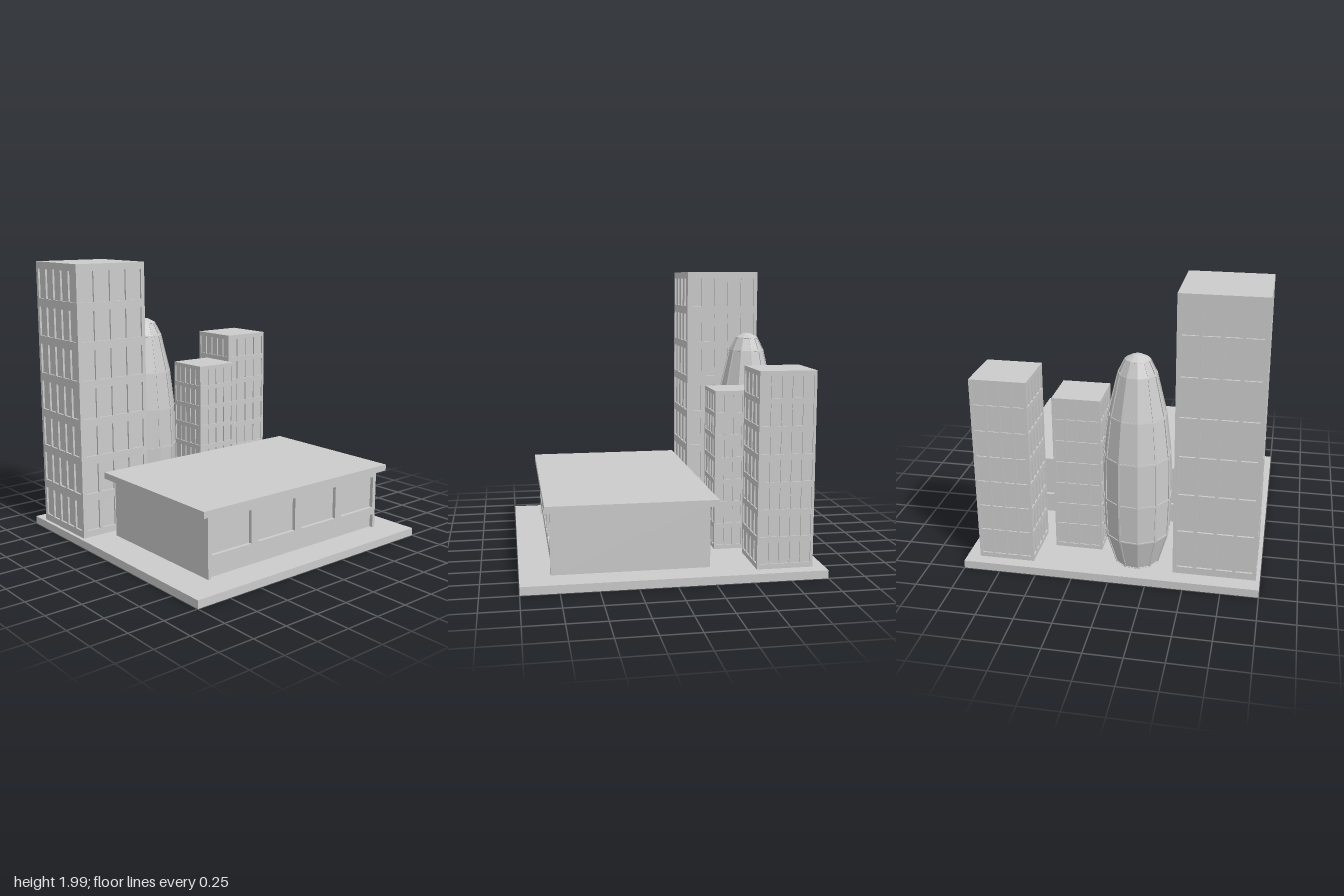
import * as THREE from 'three';

const mat = new THREE.MeshStandardMaterial({ color: 0xcccccc, flatShading: true });

function add(parent, geometry, name) {
  const mesh = new THREE.Mesh(geometry, mat);
  mesh.name = name;
  parent.add(mesh);
  return mesh;
}

// box given by its minimum and maximum corners
function boxBetween(parent, name, x0, x1, y0, y1, z0, z1) {
  const m = add(parent, new THREE.BoxGeometry(x1 - x0, y1 - y0, z1 - z0), name);
  m.position.set((x0 + x1) / 2, (y0 + y1) / 2, (z0 + z1) / 2);
  return m;
}

function rectPoints(x0, x1, y0, y1) {
  return [[x0, y0], [x1, y0], [x1, y1], [x0, y1]].map(([x, y]) => new THREE.Vector2(x, y));
}

// wall sheet with openings, its back on z = 0
function facade(outline, holes, depth) {
  const shape = new THREE.Shape(outline);
  for (const h of holes) shape.holes.push(new THREE.Path(rectPoints(...h).reverse()));
  return new THREE.ExtrudeGeometry(shape, { depth, bevelEnabled: false });
}

// tower: inner core wrapped by four walls with window openings
function tower(name, x0, x1, y0, y1, z0, z1) {
  const g = new THREE.Group();
  g.name = name;
  const w = x1 - x0, d = z1 - z0, h = y1 - y0, t = w * 0.025, rows = 7;
  g.position.set((x0 + x1) / 2, y0, (z0 + z1) / 2);
  boxBetween(g, 'core', -w / 2 + t, w / 2 - t, 0, h, -d / 2 + t, d / 2 - t);

  for (let side = 0; side < 4; side++) {
    const alongX = side % 2 === 0;
    const full = alongX ? w : d;
    const half = full / 2 - (alongX ? 0 : t);
    const cols = alongX ? 4 : 5;
    const cw = full * 0.94 / cols, rh = h * 0.98 / rows;
    const holes = [];
    for (let r = 0; r < rows; r++) {
      for (let c = 0; c < cols; c++) {
        const cx = (c - (cols - 1) / 2) * cw, cy = h * 0.01 + (r + 0.5) * rh;
        holes.push([cx - cw * 0.41, cx + cw * 0.41, cy - rh * 0.39, cy + rh * 0.39]);
      }
    }
    const wall = add(g, facade(rectPoints(-half, half, 0, h), holes, t), 'windowWall');
    const angle = side * Math.PI / 2, out = (alongX ? d : w) / 2 - t;
    wall.rotation.y = angle;
    wall.position.set(Math.sin(angle) * out, 0, Math.cos(angle) * out);
  }
  return g;
}

// bullet-shaped tower: each facet is a thin frame around a sunken pane
function bulletTower(sides, start) {
  const profile = [[0.155, 0.05], [0.225, 0.28], [0.235, 0.55], [0.228, 0.85],
    [0.195, 1.13], [0.13, 1.41], [0.083, 1.505], [0.035, 1.53], [0, 1.536]];
  const pos = [];
  const tri = (...pts) => pts.forEach(p => pos.push(p.x, p.y, p.z));
  const quad = (a, b, c, d) => { tri(a, b, c); tri(a, c, d); };
  const at = ([r, y], i) => {
    const a = start + i * Math.PI * 2 / sides;
    return new THREE.Vector3(r * Math.sin(a), y, r * Math.cos(a));
  };
  for (let k = 0; k < profile.length - 1; k++) {
    for (let i = 0; i < sides; i++) {
      const q = [at(profile[k], i), at(profile[k], i + 1), at(profile[k + 1], i + 1), at(profile[k + 1], i)];
      if (k > 5) { quad(...q); continue; }
      const n = q[1].clone().sub(q[0]).cross(q[3].clone().sub(q[0])).normalize();
      // frame inset by a constant margin on all sides
      const inset = (u, v) => {
        const low = q[0].clone().lerp(q[1], u), high = q[3].clone().lerp(q[2], u);
        return low.lerp(high, v);
      };
      const mu = 0.08, mv = 0.008 / q[0].distanceTo(q[3]);
      const rim = [inset(mu, mv), inset(1 - mu, mv), inset(1 - mu, 1 - mv), inset(mu, 1 - mv)];
      const pane = rim.map(p => p.clone().addScaledVector(n, -0.006));
      for (let e = 0; e < 4; e++) {
        const f = (e + 1) % 4;
        quad(q[e], q[f], rim[f], rim[e]);
        quad(rim[e], rim[f], pane[f], pane[e]);
      }
      quad(...pane);
    }
  }
  const geo = new THREE.BufferGeometry();
  geo.setAttribute('position', new THREE.Float32BufferAttribute(pos, 3));
  geo.computeVertexNormals();
  return geo;
}

// low hall: core, front and back walls with wide windows, overhanging roof
function hall() {
  const g = new THREE.Group();
  g.name = 'hall';
  const t = 0.025, x0 = -0.76, x1 = 0.81, y0 = 0.055, y1 = 0.48, z0 = -0.25, z1 = 0.8;
  const w = x1 - x0, mid = (x0 + x1) / 2;
  boxBetween(g, 'hallCore', x0, x1, y0, y1, z0 + t, z1 - t);
  boxBetween(g, 'hallRoof', -0.82, 0.875, y1, 0.525, -0.295, 0.835);

  // outline steps up along the foot, leaving a recessed plinth between corner posts
  const e = w / 2, p = e - 0.023;
  const outline = [[-e, y0], [-p, y0], [-p, 0.155], [p, 0.155], [p, y0], [e, y0], [e, y1], [-e, y1]]
    .map(([x, y]) => new THREE.Vector2(x, y));
  const holes = [];
  for (let i = 0; i < 4; i++) {
    const cx = (i - 1.5) * 0.393;
    holes.push([cx - 0.165, cx + 0.165, 0.21, 0.44]);
  }
  const front = add(g, facade(outline, holes, t), 'hallFrontWall');
  front.position.set(mid, 0, z1 - t);
  const back = add(g, facade(outline, holes, t), 'hallBackWall');
  back.rotation.y = Math.PI;
  back.position.set(mid, 0, z0 + t);
  return g;
}

export function createModel() {
  const model = new THREE.Group();
  model.name = 'cityBlock';

  boxBetween(model, 'groundSlab', -1, 1, 0, 0.055, -1, 1);
  model.add(hall());

  // square towers behind the hall
  model.add(tower('tallTower', -0.975, -0.42, 0.055, 1.985, -0.89, -0.34));
  model.add(tower('shortTower', 0.1, 0.43, 0.055, 1.175, -0.695, -0.365));
  model.add(tower('middleTower', 0.53, 0.91, 0.055, 1.36, -0.92, -0.54));

  const bullet = add(model, bulletTower(11, -0.11), 'bulletTower');
  bullet.position.set(-0.155, 0, -0.735);
  return model;
}
